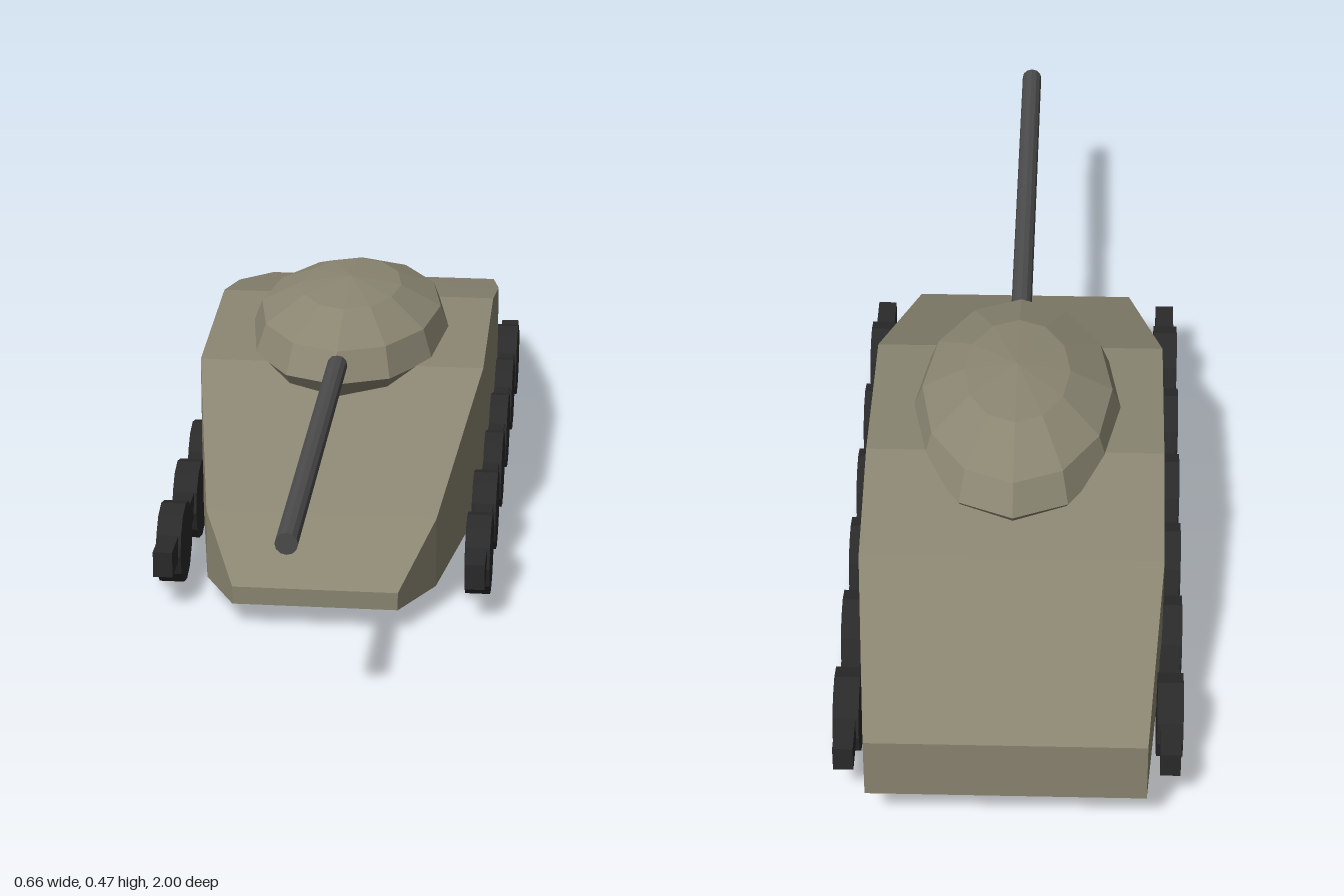
import * as THREE from 'three';

const paint = (color) => new THREE.MeshStandardMaterial({ color, flatShading: true });
const armour = paint(0x8b8672);
const gunMetal = paint(0x4c4c4c);
const rubber = paint(0x2a2a2a);

function add(parent, name, geometry, material, x = 0, y = 0, z = 0) {
  const mesh = new THREE.Mesh(geometry, material);
  mesh.name = name;
  mesh.position.set(x, y, z);
  parent.add(mesh);
  return mesh;
}

// Hull lofted through rectangular sections: [z, half width, bottom, top]
function hullGeometry() {
  const sections = [
    [0.535, 0.16, 0.047, 0.083],
    [0.415, 0.225, 0.047, 0.19],
    [0.01, 0.29, 0.047, 0.353],
    [-0.36, 0.29, 0.05, 0.375],
    [-0.61, 0.29, 0.06, 0.313],
    [-1, 0.26, 0.073, 0.2],
  ];
  const positions = [];
  const index = [];
  for (const [z, w, b, t] of sections) {
    positions.push(-w, b, z, w, b, z, w, t, z, -w, t, z);
  }
  for (let s = 0; s < sections.length - 1; s++) {
    for (let i = 0; i < 4; i++) {
      const a = s * 4 + i, b = s * 4 + ((i + 1) % 4);
      index.push(a, a + 4, b + 4, a, b + 4, b);
    }
  }
  // Nose and tail plates
  const e = (sections.length - 1) * 4;
  index.push(0, 1, 2, 0, 2, 3, e, e + 2, e + 1, e, e + 3, e + 2);
  const geometry = new THREE.BufferGeometry();
  geometry.setAttribute('position', new THREE.Float32BufferAttribute(positions, 3));
  geometry.setIndex(index);
  const flat = geometry.toNonIndexed();
  flat.computeVertexNormals();
  return flat;
}

// Faceted dome, stretched along the hull
function turretGeometry() {
  const profile = [[0, 0.285], [0.176, 0.285], [0.21, 0.352], [0.188, 0.41], [0.105, 0.454], [0, 0.47]];
  const points = profile.map(([r, y]) => new THREE.Vector2(r, y));
  return new THREE.LatheGeometry(points, 12).scale(1, 1, 1.59);
}

export function createModel() {
  const model = new THREE.Group();
  model.name = 'tank';

  add(model, 'hull', hullGeometry(), armour);
  add(model, 'turret', turretGeometry(), armour, 0, 0, -0.203);

  // Gun barrel, rooted inside the turret
  const barrel = new THREE.CylinderGeometry(0.021, 0.021, 1, 12).rotateX(Math.PI / 2);
  add(model, 'gunBarrel', barrel, gunMetal, 0, 0.382, 0.5);

  // Running gear on both sides
  const wheel = new THREE.CylinderGeometry(0.081, 0.081, 0.049, 12).rotateZ(Math.PI / 2);
  const track = new THREE.BoxGeometry(0.038, 0.052, 1.412);
  for (const side of [1, -1]) {
    const gear = new THREE.Group();
    gear.name = side > 0 ? 'leftRunningGear' : 'rightRunningGear';
    add(gear, 'track', track, rubber, side * 0.304, 0.096, -0.23);
    for (let i = 0; i < 6; i++) {
      add(gear, 'roadWheel', wheel, rubber, side * 0.304, 0.081, 0.323 - i * 0.2212);
    }
    model.add(gear);
  }
  return model;
}
